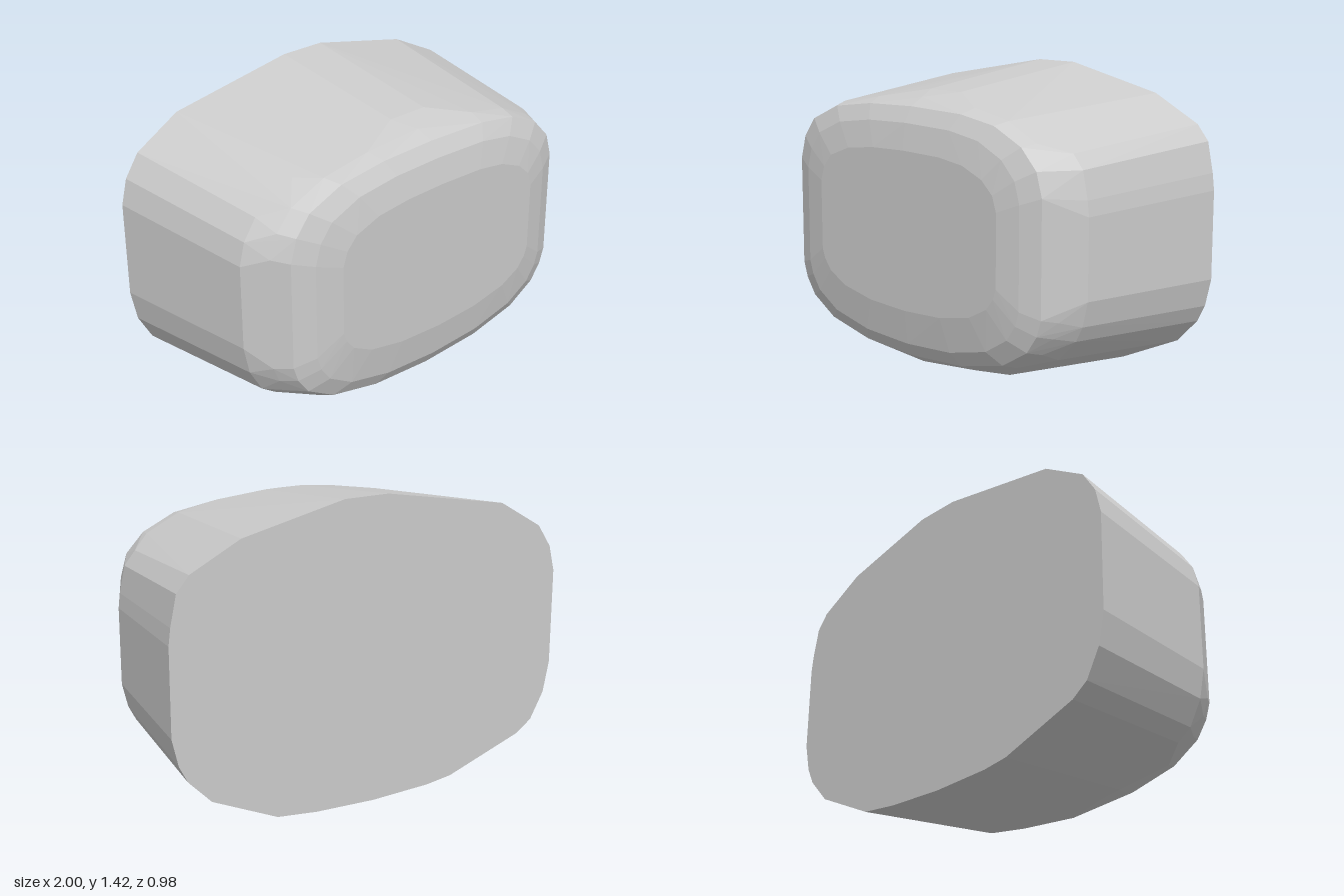
import * as THREE from 'three';
import { ConvexGeometry } from 'three/addons/geometries/ConvexGeometry.js';

// Outline at the flat back, normalised to -1..1 in x and y
const BACK = [
  [-0.06, 1], [0.16, 1], [0.66, 0.845], [0.9, 0.675], [0.96, 0.575], [0.99, 0.38], [1, 0.27],
  [1, -0.3], [0.97, -0.48], [0.93, -0.59], [0.82, -0.75], [0.5, -0.955], [0.3, -0.985], [0, -1],
  [-0.3, -0.985], [-0.43, -0.96], [-0.82, -0.77], [-0.9, -0.69], [-0.97, -0.51], [-1, -0.3],
  [-1, 0.34], [-0.97, 0.51], [-0.9, 0.66], [-0.68, 0.845],
];

// Squarer outline of the rounded front, with a gently domed top and bottom
const FRONT = [
  [-0.35, 0.985], [0, 1], [0.4, 0.985], [0.65, 0.93], [0.85, 0.8], [0.96, 0.64], [1, 0.45],
  [1, -0.45], [0.97, -0.58], [0.9, -0.72], [0.72, -0.87], [0.4, -0.97], [0, -1],
  [-0.4, -0.97], [-0.72, -0.87], [-0.9, -0.72], [-0.97, -0.58], [-1, -0.45],
  [-1, 0.45], [-0.96, 0.64], [-0.87, 0.8], [-0.65, 0.93],
];

// Cross-sections from back to front: z, left x, right x, low y, high y, outline
const SECTIONS = [
  [-0.49, -1, 1, 0, 1.42, BACK],
  [0.24, -0.905, 0.905, 0.06, 1.33, BACK],
  [0.35, -0.85, 0.86, 0.08, 1.305, FRONT],
  [0.425, -0.78, 0.81, 0.125, 1.27, FRONT],
  [0.465, -0.68, 0.72, 0.19, 1.2, FRONT],
  [0.49, -0.55, 0.61, 0.35, 1.08, FRONT],
];

export function createModel() {
  const points = [];
  for (const [z, x0, x1, y0, y1, outline] of SECTIONS) {
    for (const [u, v] of outline) {
      // the squarer outline is pulled in at its corners where it meets the tapered body
      const k = z === 0.35 ? 1 - 0.05 * Math.abs(u * v) : 1;
      points.push(new THREE.Vector3(
        (x0 + x1) / 2 + k * u * (x1 - x0) / 2,
        (y0 + y1) / 2 + k * v * (y1 - y0) / 2,
        z,
      ));
    }
  }

  // Faceted cushion-like body with a flat back
  const body = new THREE.Mesh(
    new ConvexGeometry(points),
    new THREE.MeshStandardMaterial({ color: 0xcccccc, flatShading: true }),
  );
  body.name = 'body';

  const model = new THREE.Group();
  model.name = 'roundedBlock';
  model.add(body);
  return model;
}
